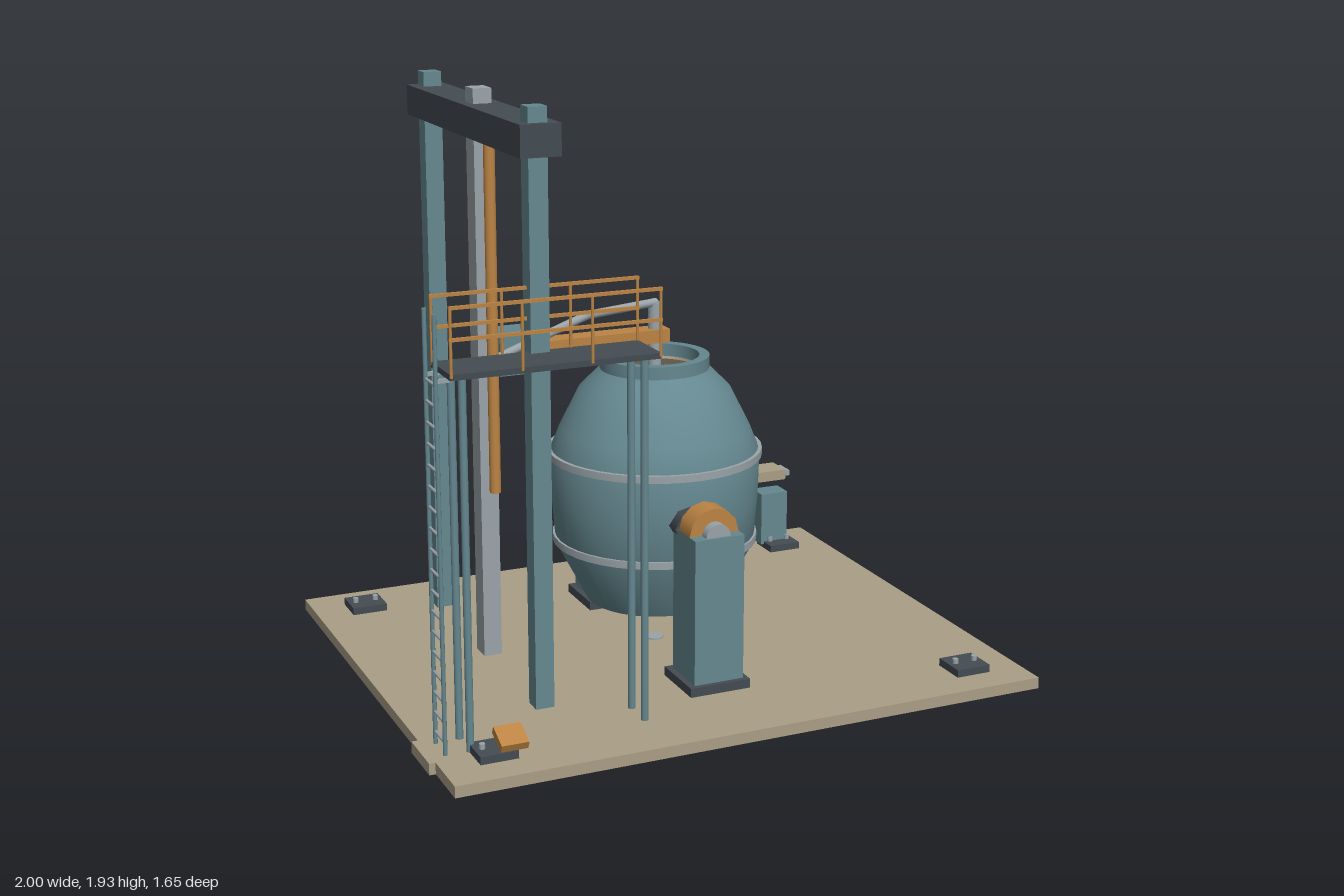
import * as THREE from 'three';
import { toCreasedNormals } from 'three/addons/utils/BufferGeometryUtils.js';

const material = (name, color) => {
  const m = new THREE.MeshStandardMaterial({ color });
  m.name = name;
  return m;
};

export function createModel() {
  const model = new THREE.Group();
  model.name = 'tiltingFurnacePlant';
  const teal = material('tealPaint', 0x658890);
  const dark = material('darkIron', 0x444c52);
  const orange = material('orangePaint', 0xbc8444);
  const tan = material('tanConcrete', 0xaa9e86);
  const steel = material('lightSteel', 0x9aa4a9);
  const lining = material('paleLining', 0xcbbb9f);

  const add = (name, geometry, mat, x = 0, y = 0, z = 0) => {
    const mesh = new THREE.Mesh(geometry, mat);
    mesh.name = name;
    mesh.position.set(x, y, z);
    model.add(mesh);
    return mesh;
  };
  // box given by its limits on each axis
  const box = (name, mat, x0, x1, y0, y1, z0, z1) =>
    add(name, new THREE.BoxGeometry(x1 - x0, y1 - y0, z1 - z0), mat,
      (x0 + x1) / 2, (y0 + y1) / 2, (z0 + z1) / 2);
  // upright and lengthwise (z) cylinders
  const post = (name, mat, r, x, y0, y1, z, sides = 16) =>
    add(name, new THREE.CylinderGeometry(r, r, y1 - y0, sides), mat, x, (y0 + y1) / 2, z);
  const axle = (name, mat, r, x, y, z0, z1, sides = 24) =>
    add(name, new THREE.CylinderGeometry(r, r, Math.abs(z1 - z0), sides).rotateX(Math.PI / 2),
      mat, x, y, (z0 + z1) / 2);
  const lathe = (points) => toCreasedNormals(
    new THREE.LatheGeometry(points.map(([r, y]) => new THREE.Vector2(r, y)), 40), 0.45);

  // Floor slab and ladder footing
  box('floorSlab', tan, -0.98, 1, 0.008, 0.045, -0.825, 0.825);
  box('ladderFooting', tan, -1, -0.96, 0.008, 0.045, 0.48, 0.65);
  post('floorDrain', steel, 0.03, 0.01, 0, 0.05, 0);

  // Vessel shell, lining and hoops
  const cx = 0.01;
  add('vesselShell', lathe([[0, 0.205], [0.228, 0.205], [0.33, 0.4], [0.342, 0.55],
    [0.347, 0.71], [0.315, 0.79], [0.25, 0.92], [0.215, 0.955], [0.18, 0.99],
    [0.18, 1.032], [0.147, 1.032], [0.147, 0.99]]), teal, cx);
  add('vesselLining', lathe([[0.147, 1.025], [0.15, 0.98], [0.22, 0.91], [0.3, 0.72],
    [0.29, 0.42], [0.19, 0.26], [0, 0.26]]), lining, cx);
  for (const [r, y] of [[0.355, 0.71], [0.34, 0.418]]) {
    add('vesselHoop', lathe([[r - 0.025, y - 0.012], [r, y - 0.012], [r, y + 0.012],
      [r - 0.025, y + 0.012]]), steel, cx);
  }

  // Tapping spout
  box('tapSpout', tan, 0.33, 0.475, 0.558, 0.592, -0.046, 0.046);
  box('tapSpoutTip', steel, 0.46, 0.497, 0.566, 0.584, -0.034, 0.034);

  // Pedestals with trunnion bearings, front and back
  for (const s of [1, -1]) {
    const zBox = (name, mat, x0, x1, y0, y1, a, b) =>
      box(name, mat, x0, x1, y0, y1, Math.min(s * a, s * b), Math.max(s * a, s * b));
    zBox('pedestalFoot', dark, -0.095, 0.112, 0.045, 0.075, 0.318, 0.522);
    zBox('pedestal', teal, -0.075, 0.095, 0.075, 0.555, 0.34, 0.505);
    axle('trunnionFlange', dark, 0.095, cx, 0.555, s * 0.32, s * 0.375, 8)
      .scale.set(1, 0.7, 1);
    axle('bearingCap', orange, 0.085, cx, 0.555, s * 0.382, s * 0.462, 12);
    axle('trunnionShaft', steel, 0.042, cx, 0.555, s * 0.3, s * 0.495);
  }

  // Tilt drive with a ribbed outer face
  axle('tiltDrive', dark, 0.126, cx, 0.56, -0.583, -0.482, 32);
  for (let i = -2; i <= 2; i++) {
    const half = 0.095 - Math.abs(i) * 0.015;
    const y = 0.56 + i * 0.036;
    box('driveRib', dark, cx - half, cx + half, y - 0.007, y + 0.007, -0.59, -0.58);
  }

  // Gantry columns, mast and beam
  for (const z of [0.478, -0.478]) {
    box('gantryColumn', teal, -0.61, -0.55, 0.09, 1.932, z - 0.03, z + 0.03);
  }
  box('mast', steel, -0.61, -0.55, 0.09, 1.932, -0.036, 0.036);
  box('gantryBeam', dark, -0.642, -0.515, 1.788, 1.885, -0.53, 0.53);
  post('hoistRod', orange, 0.018, -0.58, 0.66, 1.79, 0.088);

  // Lance carriage, arm and gas pipe
  box('lanceCarriage', teal, -0.55, -0.395, 1.03, 1.16, -0.07, 0.07);
  box('lanceArm', orange, -0.395, 0.05, 1.076, 1.12, -0.035, 0.035);
  post('lance', steel, 0.022, cx, 0.78, 1.205, 0);
  const pipe = new THREE.CurvePath();
  const bends = [[cx, 1.205, 0], [-0.26, 1.205, 0.085], [-0.57, 1.095, 0.088]]
    .map((p) => new THREE.Vector3(...p));
  for (let i = 0; i < 2; i++) {
    pipe.add(new THREE.LineCurve3(bends[i], bends[i + 1]));
  }
  add('gasPipe', new THREE.TubeGeometry(pipe, 40, 0.014, 12), steel);
  for (const p of bends) {
    add('pipeElbow', new THREE.SphereGeometry(0.0145, 12, 8), steel, p.x, p.y, p.z);
  }

  // Service platform, legs and railings
  box('platformDeck', dark, -0.905, -0.255, 1.192, 1.21, 0.476, 0.648);
  for (const x of [-0.86, -0.295]) {
    for (const z of [0.515, 0.615]) post('platformLeg', teal, 0.012, x, 0.045, 1.195, z, 12);
  }
  for (const z of [0.476, 0.648]) {
    for (let i = 0; i < 4; i++) {
      post('railingPost', orange, 0.005, -0.902 + i * 0.215, 1.2, 1.403, z, 8);
    }
    for (const y of [1.31, 1.402]) {
      box('railingBar', orange, -0.907, -0.252, y - 0.005, y + 0.005, z - 0.005, z + 0.005);
    }
  }

  // Ladder
  for (const z of [0.52, 0.612]) {
    post('ladderRail', teal, 0.007, -0.937, 0.045, 1.38, z, 8);
    box('ladderBracket', steel, -0.937, -0.89, 1.18, 1.192, z - 0.005, z + 0.005);
  }
  for (let i = 0; i < 18; i++) {
    axle('ladderRung', steel, 0.005, -0.937, 0.085 + i * 0.064, 0.52, 0.612, 8);
  }

  // Corner anchor plates with bolts
  for (const x of [-0.805, 0.82]) {
    for (const z of [-0.664, 0.664]) {
      box('anchorPlate', dark, x - 0.06, x + 0.06, 0.045, 0.07, z - 0.057, z + 0.057);
      for (const d of [-0.035, 0.035]) post('anchorBolt', steel, 0.01, x + d, 0.07, 0.086, z, 8);
    }
  }

  // Control cabinet with its panel on the back
  box('cabinet', teal, 0.748, 0.856, 0.06, 0.258, -0.748, -0.665);
  box('cabinetPanel', dark, 0.765, 0.839, 0.19, 0.225, -0.755, -0.747);
  for (let i = 0; i < 3; i++) {
    axle('cabinetButton', orange, 0.008, 0.78 + i * 0.022, 0.208, -0.76, -0.754, 10);
  }

  // Tilted control desk
  add('controlDesk', new THREE.BoxGeometry(0.085, 0.026, 0.08), orange, -0.788, 0.14, 0.77)
    .rotation.x = 0.42;

  return model;
}
